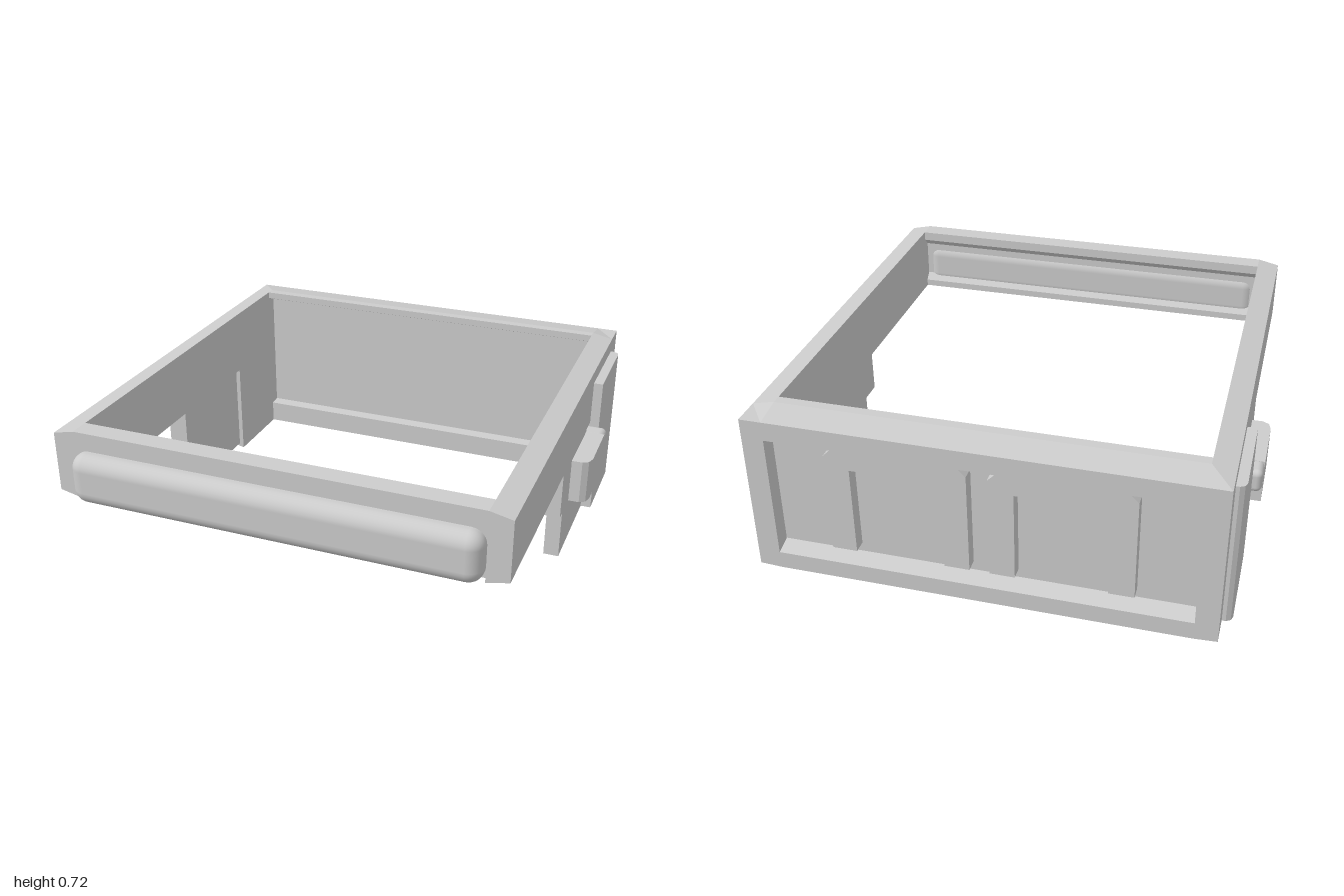
import * as THREE from 'three';
import { RoundedBoxGeometry } from 'three/addons/geometries/RoundedBoxGeometry.js';

const material = new THREE.MeshStandardMaterial({ color: 0xcccccc });

export function createModel() {
  const model = new THREE.Group();

  const add = (name, geometry) => {
    const mesh = new THREE.Mesh(geometry, material);
    mesh.name = name;
    model.add(mesh);
    return mesh;
  };

  // Prism from a profile: axis x takes (z, y), axis y takes (x, z), axis z takes (x, y)
  const prism = (name, axis, points, from, to) => {
    const flat = points.map(([a, b]) => new THREE.Vector2(axis === 'x' ? -a : a, axis === 'y' ? -b : b));
    const g = new THREE.ExtrudeGeometry(new THREE.Shape(flat), { depth: to - from, bevelEnabled: false });
    g.translate(0, 0, from);
    if (axis === 'x') g.rotateY(Math.PI / 2);
    if (axis === 'y') g.rotateX(-Math.PI / 2);
    // Slope the top and bottom at the rear edge
    const p = g.attributes.position;
    for (let i = 0; i < p.count; i++) {
      if (p.getZ(i) < -0.98) p.setY(i, THREE.MathUtils.clamp(p.getY(i), 0.015, 0.7));
    }
    g.computeVertexNormals();
    return add(name, g);
  };

  const center = (mesh, x, y, z) => mesh.position.set((x[0] + x[1]) / 2, (y[0] + y[1]) / 2, (z[0] + z[1]) / 2);
  const size = (r) => Math.abs(r[1] - r[0]);
  const box = (name, x, y, z) => center(add(name, new THREE.BoxGeometry(size(x), size(y), size(z))), x, y, z);
  const rounded = (name, x, y, z, r) =>
    center(add(name, new RoundedBoxGeometry(size(x), size(y), size(z), 4, r)), x, y, z);

  // Front bar, grooved on the inside, and its rounded bumper
  prism('frontBar', 'x', [
    [0.83, 0.72], [0.915, 0.72], [0.915, 0.45], [0.85, 0.43], [0.83, 0.43],
    [0.83, 0.46], [0.86, 0.49], [0.86, 0.65], [0.83, 0.68],
  ], -0.83, 0.83);
  rounded('frontBumper', [-0.83, 0.83], [0.435, 0.645], [0.85, 0.985], 0.06);

  // Rear rails and the recessed wall between them
  prism('rearTopRail', 'x', [
    [-0.83, 0.72], [-0.87, 0.72], [-0.99, 0.7], [-0.99, 0.62], [-0.91, 0.62], [-0.88, 0.67], [-0.83, 0.69],
  ], -0.83, 0.83);
  prism('rearBottomRail', 'x', [[-0.83, 0], [-0.87, 0], [-0.99, 0.015], [-0.99, 0.09], [-0.92, 0.11], [-0.83, 0.1]], -0.83, 0.83);
  box('rearWall', [-0.84, 0.84], [0.08, 0.68], [-0.92, -0.88]);

  for (const s of [-1, 1]) {
    const mx = (points) => points.map(([x, v]) => [s * x, v]);

    // Side rail with a sloped top, and the deep rear corner under it
    const railProfile = mx([[0.83, 0.72], [0.92, 0.7], [0.92, 0.45], [0.83, 0.43]]);
    prism('sideRail', 'z', railProfile, -0.87, 0.915);
    prism('sideRailEnd', 'z', railProfile, -0.99, -0.87);
    const wallProfile = mx([[0.83, 0], [0.92, 0.02], [0.92, 0.46], [0.83, 0.46]]);
    prism('rearSideWall', 'z', wallProfile, -0.87, -0.47);
    prism('rearCornerPost', 'z', wallProfile, -0.99, -0.87);

    // Lower side plate, and the hook block passing through it behind the latch
    box('sidePlate', [s * 0.85, s * 0.915], [0.02, 0.46], [-0.48, 0]);
    box('hook', [s * 0.835, s * 0.92], [0.25, 0.46], [-0.39, 0.07]);

    // Outer pad, rounded at the rear
    prism('sidePad', 'y', mx([[0.91, -0.47], [0.96, -0.47], [0.96, -0.84], [0.953, -0.86], [0.935, -0.87], [0.91, -0.87]]), 0.02, 0.64);

    // Latch, rounded in plan at its front, and the neck joining it to the pad
    prism('latch', 'y', mx([[0.91, -0.39], [1.0, -0.39], [1.0, -0.14], [0.99, -0.105], [0.965, -0.09], [0.91, -0.09]]), 0.25, 0.44);
    rounded('latchNeck', [s * 0.89, s * 1.0], [0.34, 0.44], [-0.47, -0.37], 0.025);

    // Inverted U handle on the rear wall
    prism('rearHandle', 'z', mx([
      [0.04, 0.15], [0.04, 0.58], [0.07, 0.61], [0.57, 0.61], [0.6, 0.58], [0.6, 0.15],
      [0.5, 0.15], [0.5, 0.53], [0.14, 0.53], [0.14, 0.15],
    ]), -0.975, -0.91);
  }

  return model;
}
